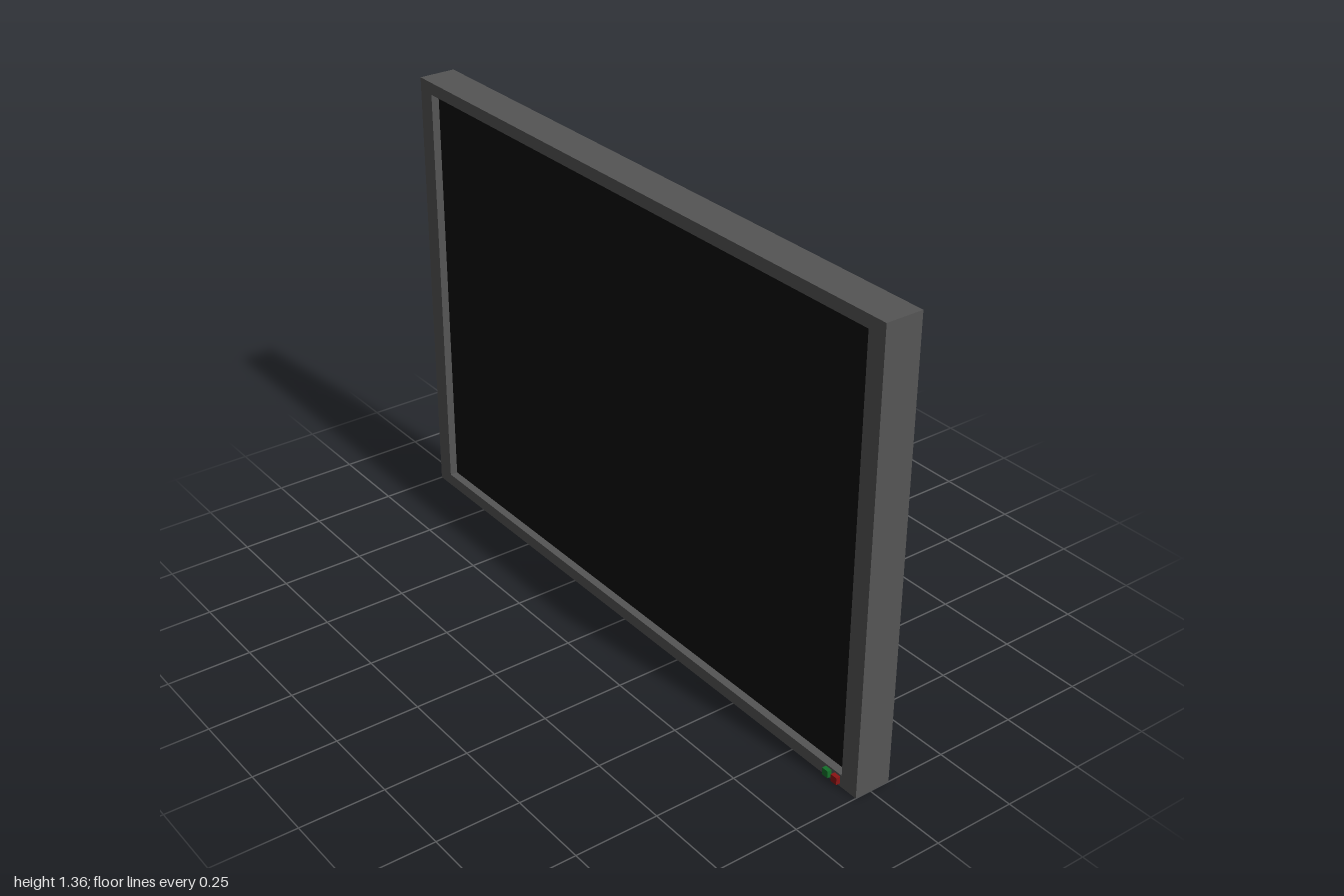
import * as THREE from 'three';

const W = 2, H = 1.36, BACK = -0.063, FRONT = 0.05, RECESS = 0.025;
const OPENING = { x: 0.943, bottom: 0.037, top: 1.323 };

const material = (color) => new THREE.MeshStandardMaterial({ color });

function addMesh(group, name, geometry, mat, x, y, z) {
  const mesh = new THREE.Mesh(geometry, mat);
  mesh.name = name;
  mesh.position.set(x, y, z);
  group.add(mesh);
  return mesh;
}

// Rectangle outline, usable as a shape or a hole
function rectangle(Type, x, y0, y1) {
  const r = new Type();
  r.moveTo(-x, y0);
  r.lineTo(x, y0);
  r.lineTo(x, y1);
  r.lineTo(-x, y1);
  r.closePath();
  return r;
}

export function createModel() {
  const group = new THREE.Group();
  group.name = 'flatScreen';
  const casing = material(0x555555);
  const screenZ = FRONT - RECESS;

  // Solid rear casing
  const depth = screenZ - BACK;
  addMesh(group, 'rearCasing', new THREE.BoxGeometry(W, H, depth), casing, 0, H / 2, BACK + depth / 2);

  // Raised bezel around the recessed screen
  const outline = rectangle(THREE.Shape, W / 2, 0, H);
  outline.holes.push(rectangle(THREE.Path, OPENING.x, OPENING.bottom, OPENING.top));
  const bezel = new THREE.ExtrudeGeometry(outline, { depth: RECESS, bevelEnabled: false });
  addMesh(group, 'bezel', bezel, casing, 0, 0, screenZ);

  // Dark screen at the bottom of the recess
  const screen = new THREE.PlaneGeometry(OPENING.x * 2, OPENING.top - OPENING.bottom);
  addMesh(group, 'screen', screen, material(0x0d0d0d), 0, (OPENING.top + OPENING.bottom) / 2, screenZ + 0.001);

  // Small buttons at the lower corner of the bezel
  for (const [name, x, color] of [['greenButton', 0.893, 0x14702a], ['redButton', 0.927, 0x8b1414]]) {
    addMesh(group, name, new THREE.BoxGeometry(0.022, 0.022, 0.023), material(color), x, 0.02, FRONT + 0.0015);
  }
  return group;
}
